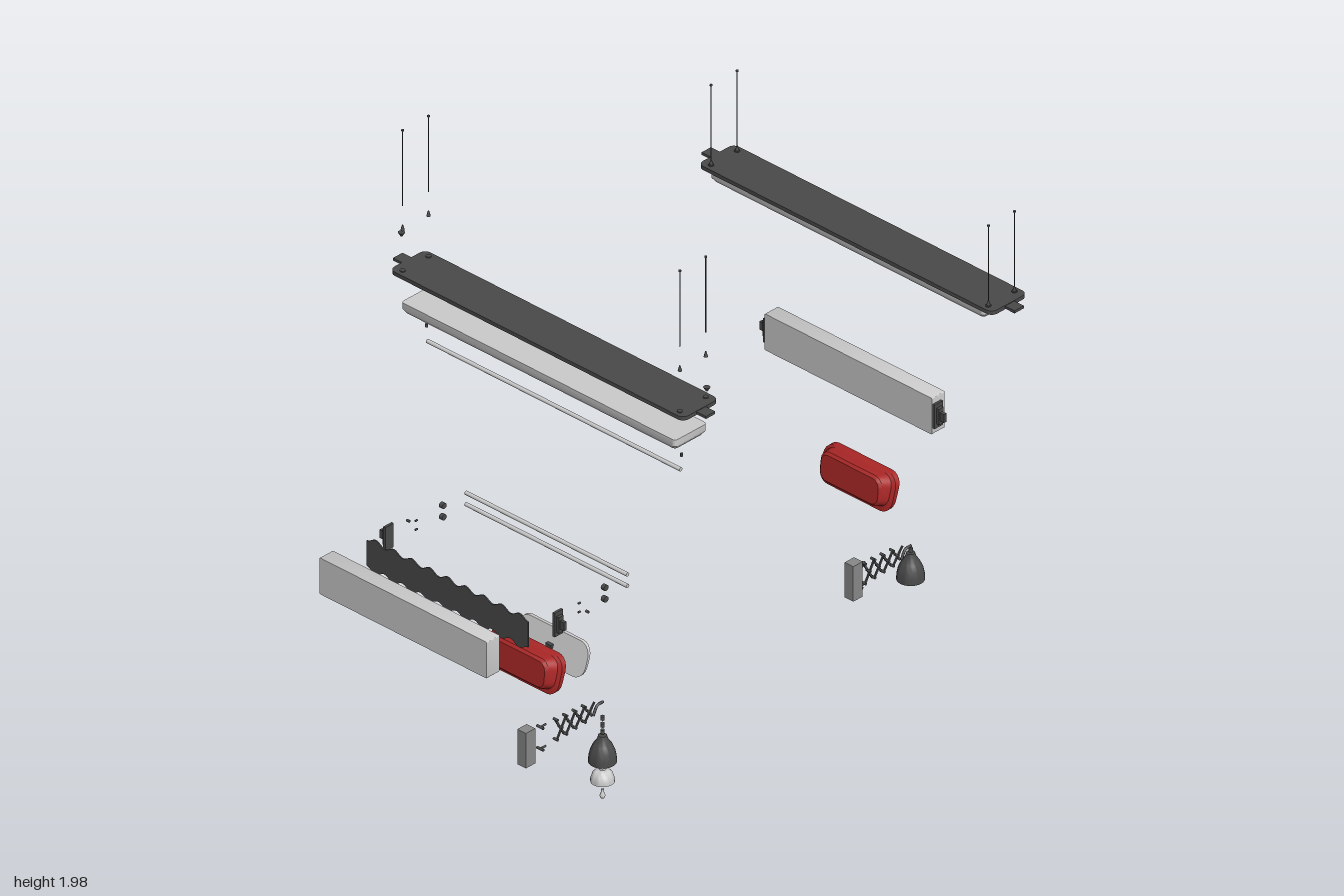
import * as THREE from 'three';
import { toCreasedNormals } from 'three/addons/utils/BufferGeometryUtils.js';

const mat = (color) => new THREE.MeshStandardMaterial({ color });
const GREY = mat(0xcccccc), MID = mat(0x888888), DARK = mat(0x4a4a4a), RED = mat(0xaa2626);

function add(parent, name, geo, material, x = 0, y = 0, z = 0) {
  const m = new THREE.Mesh(geo, material);
  m.name = name;
  m.position.set(x, y, z);
  parent.add(m);
  return m;
}

function group(parent, name, x = 0, y = 0, z = 0) {
  const g = new THREE.Group();
  g.name = name;
  g.position.set(x, y, z);
  parent.add(g);
  return g;
}

const box = (w, h, d) => new THREE.BoxGeometry(w, h, d);
const rod = (r, l, sides = 10) => new THREE.CylinderGeometry(r, r, l, sides);
const tube = (r, l) => rod(r, l, 12).rotateZ(Math.PI / 2);

// Skin over rounded rectangles: each ring is [half width, half depth, height, corner radius, depth shift]
function loft(rings) {
  const pos = [], idx = [], seg = 5, n = 4 * (seg + 1);
  for (const [hx, hz, y, r, dz = 0] of rings) {
    for (let c = 0; c < 4; c++) for (let s = 0; s <= seg; s++) {
      const a = (c + s / seg) * Math.PI / 2;
      const sx = c === 0 || c === 3 ? 1 : -1, sz = c < 2 ? -1 : 1;
      pos.push(sx * (hx - r) + r * Math.cos(a), y, sz * (hz - r) - r * Math.sin(a) + dz);
    }
  }
  for (let i = 0; i < rings.length - 1; i++) for (let j = 0; j < n; j++) {
    const k = (j + 1) % n, a = i * n + j, b = i * n + k;
    idx.push(a, b, b + n, a, b + n, a + n);
  }
  const top = (rings.length - 1) * n;
  for (let j = 1; j < n - 1; j++) idx.push(0, j + 1, j, top, top + j, top + j + 1);
  const g = new THREE.BufferGeometry();
  g.setAttribute('position', new THREE.Float32BufferAttribute(pos, 3));
  g.setIndex(idx);
  return toCreasedNormals(g, 0.6);
}

// Hanging lamp; heights are given for each layer
function ceilingLamp(parent, z, h) {
  const g = group(parent, 'ceilingLamp', -0.004, 0, z);
  // Cover plate with an end tab at each side
  add(g, 'coverPlate', loft([[0.545, 0.069, -0.006, 0.02], [0.545, 0.069, 0.006, 0.02]]), DARK, 0, h.plate, 0);
  for (const s of [-1, 1]) {
    add(g, 'endTab', box(0.04, 0.008, 0.036), DARK, s * 0.56, h.plate, 0);
    add(g, 'tabScrew', new THREE.CylinderGeometry(0.01, 0.003, 0.012, 10), DARK, s * 0.566, h.screw, 0);
    for (const t of [-1, 1]) {
      add(g, 'plateEyelet', rod(0.008, 0.004), DARK, s * 0.514, h.plate + 0.007, t * 0.05);
      add(g, 'cableGrip', new THREE.CylinderGeometry(0.002, 0.006, 0.016, 10), DARK, s * 0.514, h.grip, t * 0.05);
      add(g, 'suspensionCable', rod(0.0015, h.cable[1] - h.cable[0], 6), DARK, s * 0.514, (h.cable[0] + h.cable[1]) / 2, t * 0.05);
      add(g, 'cableStop', rod(0.004, 0.004), DARK, s * 0.514, h.cable[1] - 0.002, t * 0.05);
    }
    add(g, 'tubeSocket', rod(0.004, 0.01), DARK, s * 0.473, h.socket, 0);
  }
  // Tray, open underneath, with sloping inner walls
  add(g, 'reflectorTray', loft([
    [0.47, 0.025, 0.025, 0.004], [0.492, 0.046, 0.004, 0.006], [0.492, 0.046, 0, 0.006],
    [0.5, 0.054, 0, 0.01], [0.508, 0.062, 0.012, 0.01], [0.508, 0.062, 0.033, 0.01],
  ]), GREY, 0, h.tray, 0);
  add(g, 'lightTube', tube(0.006, 0.94), GREY, 0, h.tube, 0);
}

// Flat strip with wavy long edges
function wavyStrip() {
  const s = new THREE.Shape(), n = 120, L = 0.3;
  const edge = (x) => 0.046 + 0.007 * Math.cos(x / L * Math.PI * 9);
  s.moveTo(-L, -edge(L));
  for (let i = 1; i <= n; i++) { const x = -L + 2 * L * i / n; s.lineTo(x, -edge(x)); }
  for (let i = n; i >= 0; i--) { const x = -L + 2 * L * i / n; s.lineTo(x, edge(x)); }
  return new THREE.ExtrudeGeometry(s, { depth: 0.004, bevelEnabled: false });
}

// Long wall lamp; every layer has its own z
function wallLamp(parent, d) {
  const g = group(parent, 'wallLamp', 0.013, 0.918, 0);
  add(g, 'housing', loft([
    [0.285, 0.034, 0.04, 0.002], [0.3, 0.046, 0.004, 0.002], [0.3, 0.046, 0, 0.002],
    [0.31, 0.057, 0, 0.003], [0.31, 0.057, 0.05, 0.003],
  ]).rotateX(Math.PI / 2), GREY, 0, 0, d.housing);
  const strip = add(g, 'wavyPanel', wavyStrip(), DARK, 0, 0, d.strip);
  if (d.stripScale) strip.scale.set(0.95, d.stripScale, 1);
  for (const s of [-1, 1]) {
    // End bracket: upright plate, mounting lug and inner fin
    const e = group(g, 'endBracket', s * 0.314, 0, d.bracket);
    add(e, 'bracketPlate', box(0.008, 0.075, 0.032), DARK);
    add(e, 'bracketLug', box(0.026, 0.026, 0.01), DARK, s * 0.015, 0, 0);
    add(e, 'bracketRib', box(0.014, 0.05, 0.018), DARK, s * 0.006, 0, 0);
    add(g, 'lugScrew', tube(0.004, 0.01), DARK, s * 0.332, 0, d.screw);
    for (const t of [-1, 1]) {
      add(g, 'bracketScrew', rod(0.003, 0.008).rotateX(Math.PI / 2), DARK, s * 0.302, t * 0.014, d.screw);
      add(g, 'tubeSocket', tube(0.009, 0.012), DARK, s * 0.3, t * 0.018, d.socket);
    }
  }
  for (const t of [-1, 1]) add(g, 'lightTube', tube(0.006, 0.6), GREY, 0, t * 0.018, d.tube);
}

// Red wall shade; the back leans away towards the top
function redLamp(parent, zShade, zBack) {
  const lean = (geo, k) => {
    const p = geo.attributes.position;
    for (let i = 0; i < p.count; i++) {
      const f = Math.min(1, Math.max(0, 1 - p.getZ(i) / 0.06));
      p.setZ(i, p.getZ(i) - p.getY(i) * k * f);
    }
    return toCreasedNormals(geo, 0.5);
  };
  const shade = loft([
    [0.118, 0.038, 0.012, 0.03], [0.123, 0.045, -0.008, 0.034], [0.134, 0.054, -0.008, 0.036], [0.134, 0.054, 0.006, 0.036],
    [0.122, 0.046, 0.01, 0.032, -0.005], [0.113, 0.044, 0.034, 0.028, -0.009], [0.106, 0.038, 0.04, 0.024, -0.009],
  ]).rotateX(Math.PI / 2);
  const g = group(parent, 'redWallLamp', 0.014, 0.576, 0);
  add(g, 'redShade', lean(shade, 0.33), RED, 0, 0, zShade);
  const back = loft([[0.126, 0.044, -0.006, 0.034], [0.13, 0.049, -0.003, 0.036], [0.13, 0.049, 0.005, 0.036]]).rotateX(Math.PI / 2);
  add(g, 'backPlate', lean(back, 0.36), GREY, 0, 0, zBack);
  add(g, 'wallStud', box(0.02, 0.014, 0.012), DARK, -0.004, 0, zBack + 0.008);
}

// Folding-arm lamp; d holds the layer positions
function armLamp(parent, d) {
  const g = group(parent, 'foldingArmLamp', 0.01, 0, 0);
  add(g, 'wallBlock', box(0.032, 0.11, 0.036), MID, 0, d.block[0], d.block[1]);
  for (const t of [-1, 1]) {
    add(g, 'armPin', tube(0.004, 0.024), DARK, 0, d.arm[0] + t * 0.034, d.pin);
    add(g, 'armPin', rod(0.003, 0.018).rotateX(Math.PI / 2), DARK, 0, d.arm[0] + t * 0.034, d.pin - 0.012);
  }
  // Crossed bars, shrinking slightly towards the shade
  const n = 4, step = 0.036;
  const a = group(g, 'scissorArm', 0, d.arm[0], d.arm[1]);
  for (let i = 0; i < n; i++) {
    const h = 0.062 - i * 0.005;
    for (const s of [-1, 1]) {
      const bar = add(a, 'scissorBar', box(0.004, 0.006, Math.hypot(step, h)), DARK, s * 0.004, 0, -step * (i + 0.5));
      bar.rotation.x = s * Math.atan2(h, step);
      add(a, 'hingePin', tube(0.004, 0.016), DARK, 0, s * h / 2, -step * i);
    }
    add(a, 'hingePin', tube(0.004, 0.016), DARK, 0, 0, -step * (i + 0.5));
  }
  const neck = new THREE.CatmullRomCurve3([[0, -0.022, -0.144], [0, 0.004, -0.16], [0, 0.006, -0.182]].map((p) => new THREE.Vector3(...p)));
  add(a, 'neck', new THREE.TubeGeometry(neck, 12, 0.004, 8), DARK);
  // Joint, shade, reflector and bulb
  const z = d.arm[1] - 0.18;
  d.joints.forEach((y) => add(g, 'shadeJoint', rod(0.006, 0.012), DARK, 0, y, z));
  const lathe = (pts) => toCreasedNormals(new THREE.LatheGeometry(pts.map((p) => new THREE.Vector2(...p)), 28), 0.7);
  const shell = (m) => { m.material = m.material.clone(); m.material.side = THREE.DoubleSide; };
  shell(add(g, 'bellShade', lathe([[0.036, 0], [0.039, 0], [0.038, 0.018], [0.034, 0.036], [0.026, 0.054],
    [0.015, 0.07], [0.012, 0.082], [0, 0.084]]), DARK, 0, d.shade, z));
  shell(add(g, 'bellReflector', lathe([[0.033, 0], [0.033, 0.008], [0.028, 0.024], [0.02, 0.033], [0.009, 0.037], [0.008, 0.041], [0, 0.041]]), GREY, 0, d.reflector, z));
  add(g, 'bulb', lathe([[0, 0], [0.005, 0.002], [0.008, 0.009], [0.006, 0.016], [0.004, 0.02], [0.004, 0.03], [0, 0.03]]), GREY, 0, d.bulb, z);
}

export function createModel() {
  const root = new THREE.Group();
  root.name = 'lampCollection';

  // Assembled lamps at the back
  const whole = group(root, 'assembledLamps');
  ceilingLamp(whole, -0.79, { plate: 1.33, screw: 1.325, grip: 1.344, cable: [1.335, 1.59], tray: 1.295, socket: 1.312, tube: 1.312 });
  wallLamp(whole, { housing: -0.766, strip: -0.738, stripScale: 0.72, bracket: -0.735, screw: -0.74, socket: -0.748, tube: -0.748 });
  redLamp(whole, -0.758, -0.768);
  armLamp(whole, { block: [0.26, -0.74], pin: -0.762, arm: [0.262, -0.78], joints: [0.255], shade: 0.165, reflector: 0.17, bulb: 0.173 });

  // The same lamps taken apart at the front
  const parts = group(root, 'explodedLamps');
  ceilingLamp(parts, 0.4, { plate: 1.53, screw: 1.607, grip: 1.672, cable: [1.74, 1.98], tray: 1.413, socket: 1.36, tube: 1.312 });
  wallLamp(parts, { housing: 0.95, strip: 0.826, bracket: 0.73, screw: 0.635, socket: 0.535, tube: 0.446 });
  redLamp(parts, 0.528, 0.424);
  armLamp(parts, { block: [0.3, 0.522], pin: 0.468, arm: [0.302, 0.408], joints: [0.258, 0.236, 0.215], shade: 0.122, reflector: 0.06, bulb: 0.005 });
  return root;
}
